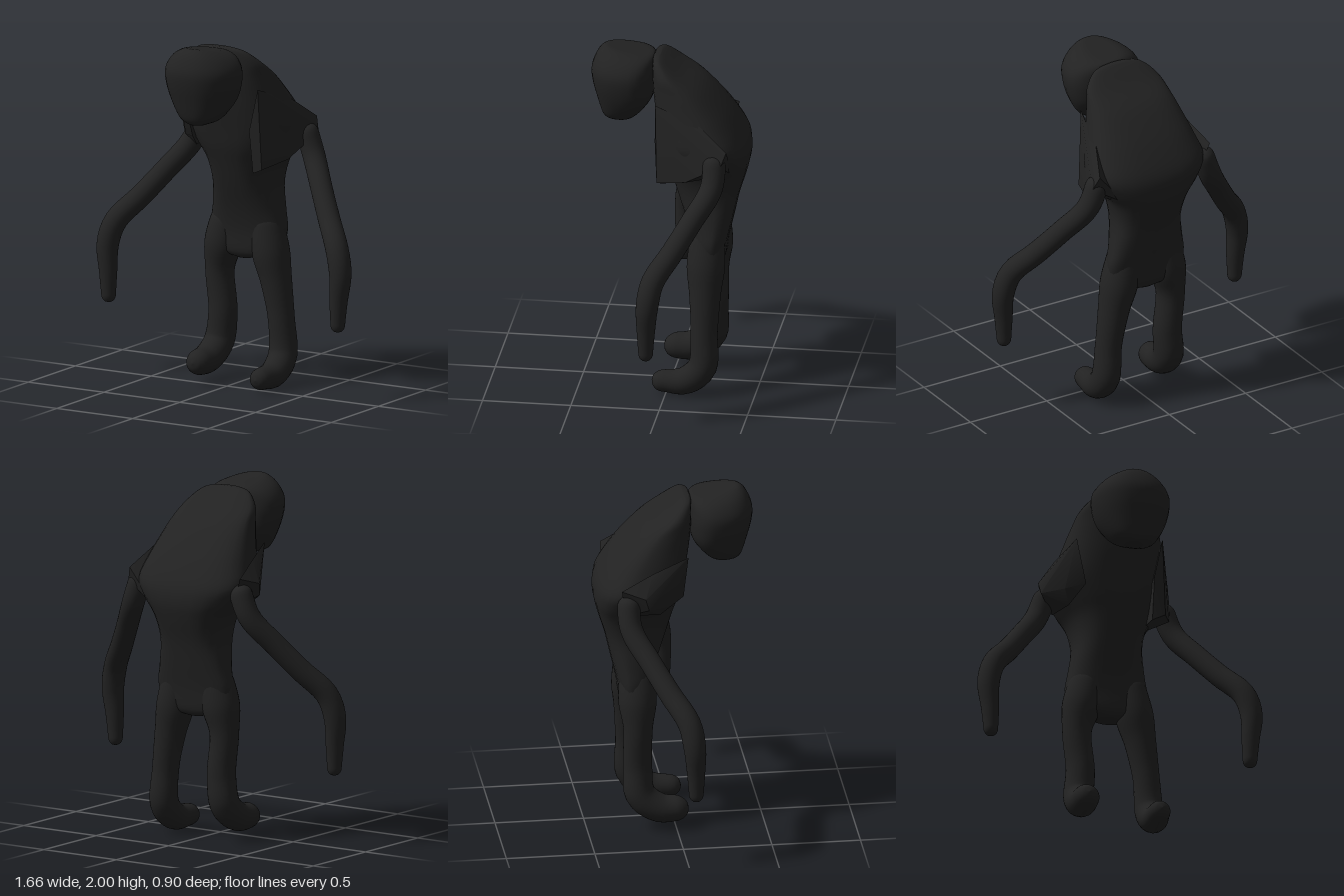
import * as THREE from 'three';
import { toCreasedNormals } from 'three/addons/utils/BufferGeometryUtils.js';
import { ConvexGeometry } from 'three/addons/geometries/ConvexGeometry.js';

const material = new THREE.MeshStandardMaterial({ color: 0x222222 });
const SIDES = 28;

// Smooth interpolation through rows of numbers, t from 0 to 1
function spline(rows, t) {
  const n = rows.length - 1;
  const i = Math.min(Math.floor(t * n), n - 1);
  const f = t * n - i;
  const [a, b, c, d] = [i - 1, i, i + 1, i + 2].map((k) => rows[Math.max(0, Math.min(n, k))]);
  return b.map((p1, k) => p1 + 0.5 * f * (c[k] - a[k]
    + f * (2 * a[k] - 5 * p1 + 4 * c[k] - d[k] + f * (3 * (p1 - c[k]) + d[k] - a[k]))));
}

// Closed skin over rings of points, with both ends gathered to their centres
function skin(rings) {
  const centre = (ring) => {
    const m = ring.reduce((s, p) => s.add(p), new THREE.Vector3()).divideScalar(SIDES);
    return ring.map(() => m);
  };
  const all = [centre(rings[0]), ...rings, centre(rings[rings.length - 1])];
  const index = [];
  for (let i = 0; i < all.length - 1; i++) {
    for (let j = 0; j < SIDES; j++) {
      const a = i * SIDES + j, b = i * SIDES + (j + 1) % SIDES;
      index.push(a, a + SIDES, b, b, a + SIDES, b + SIDES);
    }
  }
  const g = new THREE.BufferGeometry().setFromPoints(all.flat());
  g.setIndex(index);
  g.computeVertexNormals();
  return g;
}

// Level sections stacked upward; rows are [y, front z, back z, half width, tilt]
function loft(rows, steps, power, taper) {
  const rings = [];
  for (let i = 0; i <= steps; i++) {
    const [y, front, back, hw, tilt] = spline(rows, i / steps);
    rings.push(Array.from({ length: SIDES }, (_, j) => {
      const a = (j / SIDES) * Math.PI * 2;
      const bend = (v) => Math.sign(v) * Math.abs(v) ** power;
      const c = bend(Math.cos(a)), s = bend(Math.sin(a));
      const dz = s * (front - back) / 2;
      return new THREE.Vector3(hw * c * (1 - taper * s), y + tilt * dz, (front + back) / 2 + dz);
    }));
  }
  return skin(rings);
}

// Round-ended limb of changing thickness; rows are [x, y, z, radius]
function limb(rows, steps = 48) {
  const curve = new THREE.CatmullRomCurve3(rows.map((r) => new THREE.Vector3(r[0], r[1], r[2])));
  const { normals, binormals } = curve.computeFrenetFrames(steps * 4, false);
  const length = curve.getLength();
  const rings = [];
  for (let i = 0; i <= steps; i++) {
    // Sections crowd toward the ends to round them off
    const k = Math.round(steps * 2 * (1 - Math.cos(Math.PI * i / steps)));
    const u = k / (steps * 4);
    const p = curve.getPointAt(u);
    const r = spline(rows, curve.getUtoTmapping(u))[3];
    const d = Math.min(1, Math.min(u, 1 - u) * length / r);
    const radius = Math.max(0.002, r * Math.sqrt(1 - (1 - d) ** 2));
    rings.push(Array.from({ length: SIDES }, (_, j) => {
      const a = (j / SIDES) * Math.PI * 2;
      return p.clone().addScaledVector(normals[k], radius * Math.cos(a))
        .addScaledVector(binormals[k], -radius * Math.sin(a));
    }));
  }
  return skin(rings);
}

// Angular fold of the mantle spanned by its corner points
function fold(points) {
  const g = new ConvexGeometry(points.map((p) => new THREE.Vector3(...p)));
  return toCreasedNormals(g, 0.7);
}

export function createModel() {
  const group = new THREE.Group();
  const add = (name, geometry) => {
    const mesh = new THREE.Mesh(geometry, material);
    mesh.name = name;
    group.add(mesh);
  };

  // Hunched body, from the crotch to the neck
  add('torso', loft([
    [0.71, -0.16, -0.27, 0.05, 0],
    [0.75, -0.13, -0.30, 0.19, 0],
    [0.87, -0.12, -0.32, 0.235, 0],
    [1.00, -0.09, -0.35, 0.215, 0],
    [1.15, -0.04, -0.385, 0.195, 0],
    [1.28, 0.00, -0.425, 0.22, 0],
    [1.38, 0.03, -0.445, 0.285, 0],
    [1.48, 0.05, -0.43, 0.34, 0],
    [1.60, 0.075, -0.36, 0.31, 0],
    [1.70, 0.09, -0.28, 0.28, 0],
    [1.80, 0.10, -0.18, 0.25, 0],
    [1.88, 0.10, -0.06, 0.22, 0],
    [1.95, 0.10, 0.03, 0.15, 0],
    [1.97, 0.09, 0.06, 0.06, 0],
  ], 52, 0.75, 0.12));

  // Head hanging forward, flat behind and narrow at the chin
  add('head', loft([
    [1.565, 0.36, 0.26, 0.05, 0],
    [1.60, 0.39, 0.19, 0.12, 0],
    [1.70, 0.42, 0.11, 0.185, 0],
    [1.80, 0.445, 0.09, 0.215, 0],
    [1.88, 0.45, 0.09, 0.215, 0],
    [1.945, 0.42, 0.09, 0.175, 0.08],
    [1.98, 0.38, 0.10, 0.11, 0.14],
    [1.985, 0.34, 0.14, 0.04, 0.14],
  ], 28, 0.85, 0.15));

  // Uneven mantle folds over the shoulders
  add('leftMantleFold', fold([
    [0.19, 1.25, 0.03], [0.26, 1.28, 0.05], [0.33, 1.32, -0.12], [0.40, 1.45, -0.33],
    [0.37, 1.53, -0.36], [0.30, 1.65, -0.20], [0.24, 1.74, 0.06], [0.19, 1.50, 0.07],
    [0.20, 1.33, -0.37],
  ]));
  add('rightMantleFold', fold([
    [-0.40, 1.43, -0.18], [-0.41, 1.50, -0.20], [-0.37, 1.54, -0.33], [-0.26, 1.34, -0.10],
    [-0.30, 1.36, -0.30], [-0.33, 1.62, -0.15], [-0.30, 1.41, -0.04], [-0.26, 1.68, 0.06],
    [-0.20, 1.42, 0.04],
  ]));

  // Long arms with bent elbows and tapered ends
  for (const [side, s] of [['left', 1], ['right', -1]]) {
    add(side + 'Arm', limb([
      [s * 0.33, 1.50, -0.29, 0.065],
      [s * 0.40, 1.32, -0.28, 0.064],
      [s * 0.51, 1.16, -0.185, 0.062],
      [s * 0.62, 1.01, -0.09, 0.063],
      [s * 0.73, 0.87, 0.005, 0.065],
      [s * 0.767, 0.74, 0.03, 0.063],
      [s * 0.76, 0.58, 0.038, 0.051],
      [s * 0.755, 0.405, 0.04, 0.039],
    ]));
  }

  // Legs turning forward into blunt feet, the left one set wider and lower
  add('leftLeg', limb([
    [0.11, 1.00, -0.22, 0.09],
    [0.155, 0.76, -0.215, 0.108],
    [0.19, 0.60, -0.215, 0.09],
    [0.225, 0.38, -0.215, 0.076],
    [0.24, 0.17, -0.205, 0.082],
    [0.24, 0.085, -0.11, 0.078],
    [0.235, 0.075, 0.00, 0.064],
    [0.235, 0.075, 0.08, 0.06],
  ]));
  add('rightLeg', limb([
    [-0.11, 1.00, -0.22, 0.09],
    [-0.155, 0.78, -0.215, 0.108],
    [-0.18, 0.62, -0.215, 0.083],
    [-0.16, 0.38, -0.215, 0.082],
    [-0.175, 0.21, -0.20, 0.086],
    [-0.185, 0.13, -0.10, 0.083],
    [-0.185, 0.12, 0.00, 0.074],
    [-0.185, 0.125, 0.07, 0.068],
  ]));

  return group;
}
